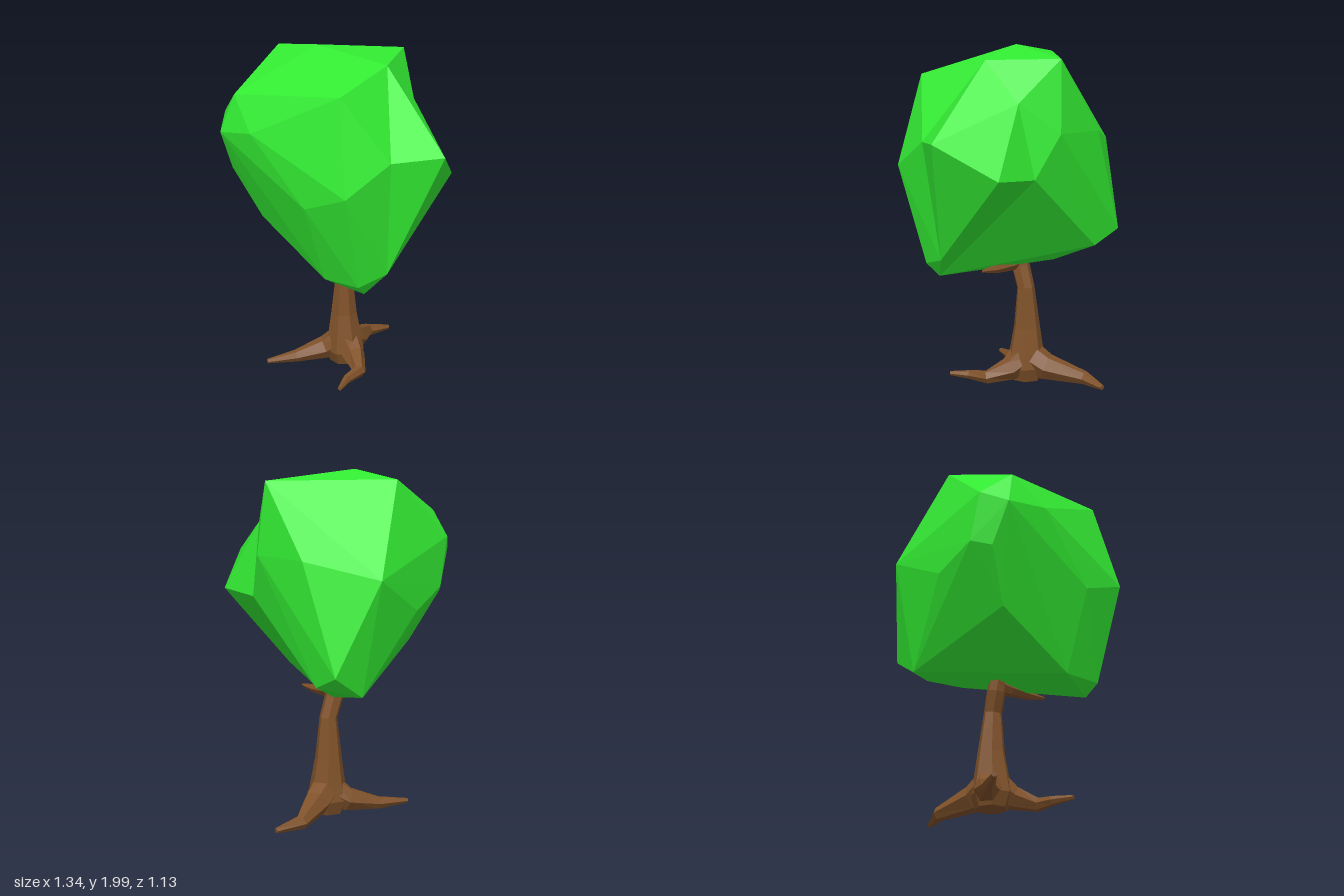
import * as THREE from 'three';
import { ConvexGeometry } from 'three/addons/geometries/ConvexGeometry.js';

const bark = new THREE.MeshStandardMaterial({ color: 0x80522a, flatShading: true });
const leaf = new THREE.MeshStandardMaterial({ color: 0x33ec33, flatShading: true });

// Tapered faceted limb: each ring is [x, y, z, radius], set square to the path.
function limb(name, rings, sides, ref) {
  const centres = rings.map(r => new THREE.Vector3(r[0], r[1], r[2]));
  const pos = [];
  const index = [];
  centres.forEach((c, i) => {
    const t = centres[Math.min(i + 1, rings.length - 1)].clone()
      .sub(centres[Math.max(i - 1, 0)]).normalize();
    const u = ref.clone().cross(t).normalize();
    const v = t.clone().cross(u);
    for (let j = 0; j < sides; j++) {
      const a = (j / sides) * Math.PI * 2;
      const p = c.clone().addScaledVector(u, rings[i][3] * Math.cos(a))
        .addScaledVector(v, rings[i][3] * Math.sin(a));
      pos.push(p.x, Math.max(p.y, 0), p.z);
    }
  });
  for (let i = 0; i < rings.length - 1; i++) {
    for (let j = 0; j < sides; j++) {
      const k = (j + 1) % sides;
      const a = i * sides + j, b = i * sides + k;
      index.push(a, b, b + sides, a, b + sides, a + sides);
    }
  }
  // End caps
  const last = (rings.length - 1) * sides;
  for (let j = 1; j < sides - 1; j++) {
    index.push(0, j + 1, j, last, last + j, last + j + 1);
  }
  const indexed = new THREE.BufferGeometry();
  indexed.setAttribute('position', new THREE.Float32BufferAttribute(pos, 3));
  indexed.setIndex(index);
  const geo = indexed.toNonIndexed();
  geo.computeVertexNormals();
  const mesh = new THREE.Mesh(geo, bark);
  mesh.name = name;
  return mesh;
}

function foliage(name, points) {
  const mesh = new THREE.Mesh(new ConvexGeometry(points.map(p => new THREE.Vector3(...p))), leaf);
  mesh.name = name;
  return mesh;
}

export function createModel() {
  const tree = new THREE.Group();
  tree.name = 'tree';
  const up = new THREE.Vector3(0, 1, 0);
  const front = new THREE.Vector3(0, 0, 1);

  // Corners where the three foliage masses meet
  const topCorner = [0.23, 1.93, 0];
  const notchTop = [0.25, 1.70, -0.23];
  const notchLow = [0.22, 1.28, -0.32];
  const sideCorner = [0.46, 1.48, 0.27];
  const frontCorner = [0.35, 1.32, 0.525];
  const sideBase = [0.39, 0.80, 0.20];
  const frontBase = [[0.31, 0.75, 0.36], [0.29, 0.68, 0.28]];

  tree.add(foliage('crown', [
    topCorner, notchTop, notchLow, sideCorner, frontCorner, ...frontBase,
    // top
    [-0.21, 2.0, 0.07], [-0.54, 1.95, 0.02], [0.06, 1.94, -0.39],
    [0.24, 1.84, 0.43], [-0.46, 1.76, 0.49],
    // middle
    [-0.28, 1.58, 0.565], [-0.53, 1.54, 0.54], [-0.62, 1.62, 0.40],
    [-0.67, 1.43, -0.29], [-0.26, 1.52, -0.455], [0.10, 1.53, -0.415],
    [0.07, 1.21, 0.53], [-0.625, 1.34, 0.33], [-0.64, 1.23, 0.08], [-0.55, 1.3, 0.43],
    // underside
    [-0.40, 1.01, 0.35], [-0.50, 0.91, -0.47], [-0.53, 0.78, -0.27],
    [-0.32, 0.83, -0.41], [-0.25, 0.73, -0.17], [0.07, 0.74, 0.36],
  ]));
  tree.add(foliage('crownBulge', [
    topCorner, notchTop, notchLow, sideCorner, sideBase,
    [0.665, 1.5, 0.06], [0.50, 1.30, -0.26],
  ]));
  tree.add(foliage('crownCorner', [notchLow, sideCorner, frontCorner, sideBase, ...frontBase]));

  // Trunk
  tree.add(limb('trunk', [
    [-0.12, 0.01, -0.06, 0.09], [-0.12, 0.09, -0.06, 0.12], [-0.12, 0.18, -0.06, 0.105],
    [-0.125, 0.33, -0.06, 0.08], [-0.12, 0.57, -0.055, 0.053],
    [-0.13, 0.69, -0.015, 0.055], [-0.13, 0.77, 0.0, 0.05],
  ], 7, front));
  tree.add(limb('branch', [
    [-0.14, 0.73, -0.01, 0.05], [-0.05, 0.71, 0.02, 0.037],
    [0.07, 0.705, 0.04, 0.025], [0.17, 0.71, 0.06, 0.008],
  ], 6, up));

  // Roots, running up into the flare of the trunk
  const roots = {
    backRoot: [[-0.12, 0.17, -0.06, 0.09], [-0.14, 0.095, -0.19, 0.08],
      [-0.21, 0.045, -0.41, 0.04], [-0.155, 0.025, -0.56, 0.015]],
    frontRightRoot: [[-0.12, 0.16, -0.06, 0.09], [-0.22, 0.085, 0.01, 0.07],
      [-0.33, 0.05, 0.16, 0.037], [-0.425, 0.045, 0.315, 0.014]],
    frontLeftRoot: [[-0.12, 0.16, -0.06, 0.09], [-0.01, 0.085, -0.01, 0.07],
      [0.10, 0.05, 0.08, 0.04], [0.10, 0.045, 0.2, 0.027], [0.14, 0.045, 0.315, 0.013]],
  };
  for (const [name, rings] of Object.entries(roots)) tree.add(limb(name, rings, 6, up));

  return tree;
}
